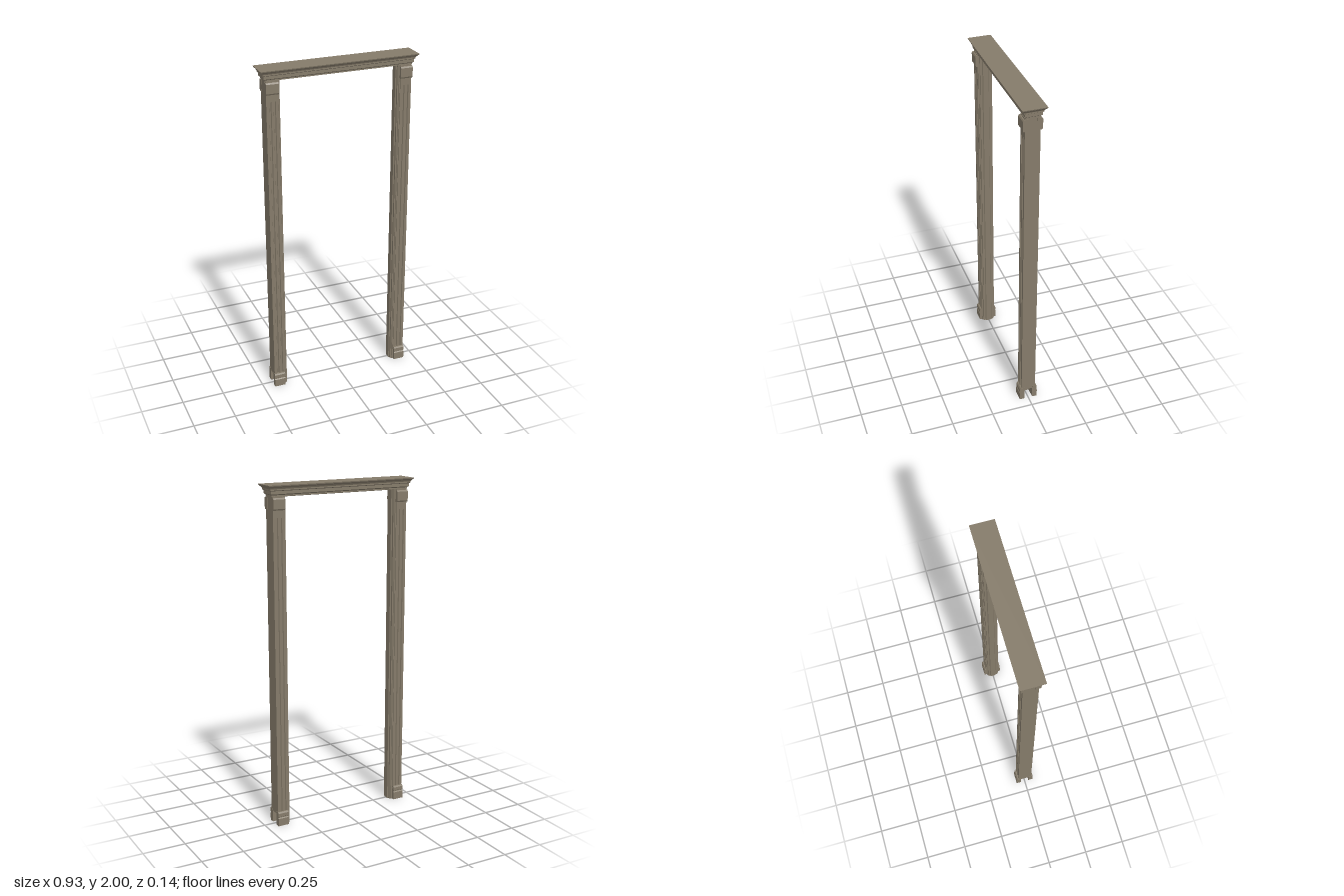
import * as THREE from 'three';

const material = new THREE.MeshStandardMaterial({ color: 0x857b6a, flatShading: true });

function add(parent, geometry, name) {
  const mesh = new THREE.Mesh(geometry, material);
  mesh.name = name;
  parent.add(mesh);
  return mesh;
}

// Upright prism from half of a plan outline (x, z >= 0), mirrored to the back
function upright(half, y0, y1) {
  const back = half.map(([x, z]) => [x, -z]).reverse();
  const shape = new THREE.Shape([...half, ...back].map(p => new THREE.Vector2(...p)));
  const g = new THREE.ExtrudeGeometry(shape, { depth: y1 - y0, bevelEnabled: false });
  return g.rotateX(-Math.PI / 2).translate(0, y0, 0);
}

// Block whose side outline (z, y) is swept across x
function block(outline, x0, x1) {
  const shape = new THREE.Shape(outline.map(p => new THREE.Vector2(...p)));
  const g = new THREE.ExtrudeGeometry(shape, { depth: x1 - x0, bevelEnabled: false });
  return g.rotateY(-Math.PI / 2).translate(x1, 0, 0);
}

// Box whose lower and upper half sizes differ
function taper(x0, z0, x1, z1, y0, y1) {
  const g = new THREE.BoxGeometry(2, y1 - y0, 2).translate(0, (y0 + y1) / 2, 0);
  const p = g.attributes.position;
  for (let i = 0; i < p.count; i++) {
    const top = p.getY(i) > (y0 + y1) / 2;
    p.setX(i, p.getX(i) * (top ? x1 : x0));
    p.setZ(i, p.getZ(i) * (top ? z1 : z0));
  }
  g.computeVertexNormals();
  return g;
}

function createPost() {
  const post = new THREE.Group();

  // Stepped jamb lining the opening, down to the floor
  add(post, upright([
    [0.37, 0.038], [0.36, 0.038], [0.357, 0.032], [0.351, 0.032],
    [0.351, 0.02], [0.345, 0.016],
  ], 0, 1.937), 'jamb');

  // Fluted casing: two grooves on the front and on the back
  const face = 0.043, groove = 0.036;
  const fluted = [[0.432, 0.03], [0.432, face]];
  for (const x of [0.409, 0.384]) {
    fluted.push([x + 0.007, face], [x + 0.004, groove], [x - 0.004, groove], [x - 0.007, face]);
  }
  fluted.push([0.365, face]);
  add(post, upright(fluted, 0.07, 1.82), 'flutedCasing');
  add(post, upright([[0.432, face], [0.365, face]], 1.82, 1.937), 'casingHead');

  // Corner and plinth blocks, front and back
  const corner = [[0.025, 1.862], [0.05, 1.862], [0.055, 1.87], [0.055, 1.922], [0.05, 1.93], [0.025, 1.93]];
  const plinth = [
    [0.025, 0], [0.055, 0], [0.055, 0.046], [0.05, 0.051], [0.05, 0.055],
    [0.054, 0.058], [0.054, 0.078], [0.049, 0.086], [0.025, 0.086],
  ];
  for (const side of [1, -1]) {
    // Reversing both z and the sweep direction keeps the outline facing outward
    const place = (outline, x0, x1, name) =>
      add(post, block(outline.map(([z, y]) => [z * side, y]), x0, x1), name);
    place(corner, 0.362, 0.434, 'cornerBlock');
    place(plinth, 0.368, 0.434, 'plinthBlock');
  }
  return post;
}

export function createModel() {
  const model = new THREE.Group();
  model.name = 'doorFrame';

  // Two matching posts
  for (const [name, turn] of [['leftPost', 0], ['rightPost', Math.PI]]) {
    const post = createPost();
    post.name = name;
    post.rotation.y = turn;
    model.add(post);
  }

  // Lintel with stepped cornice: [half x, half z, y] rings from bottom to top
  const lintel = new THREE.Group();
  lintel.name = 'lintel';
  const rings = [
    [0.436, 0.04, 1.937], [0.436, 0.04, 1.944], [0.444, 0.048, 1.95], [0.444, 0.048, 1.967],
    [0.45, 0.054, 1.971], [0.45, 0.054, 1.978], [0.455, 0.058, 1.985],
    [0.464, 0.067, 1.994], [0.466, 0.069, 2],
  ];
  for (let i = 0; i + 1 < rings.length; i++) {
    const [x0, z0, y0] = rings[i], [x1, z1, y1] = rings[i + 1];
    add(lintel, taper(x0, z0, x1, z1, y0, y1), 'corniceLayer');
  }
  // Stop strip under the head
  add(lintel, taper(0.352, 0.016, 0.352, 0.02, 1.932, 1.938), 'headStop');
  model.add(lintel);

  return model;
}
